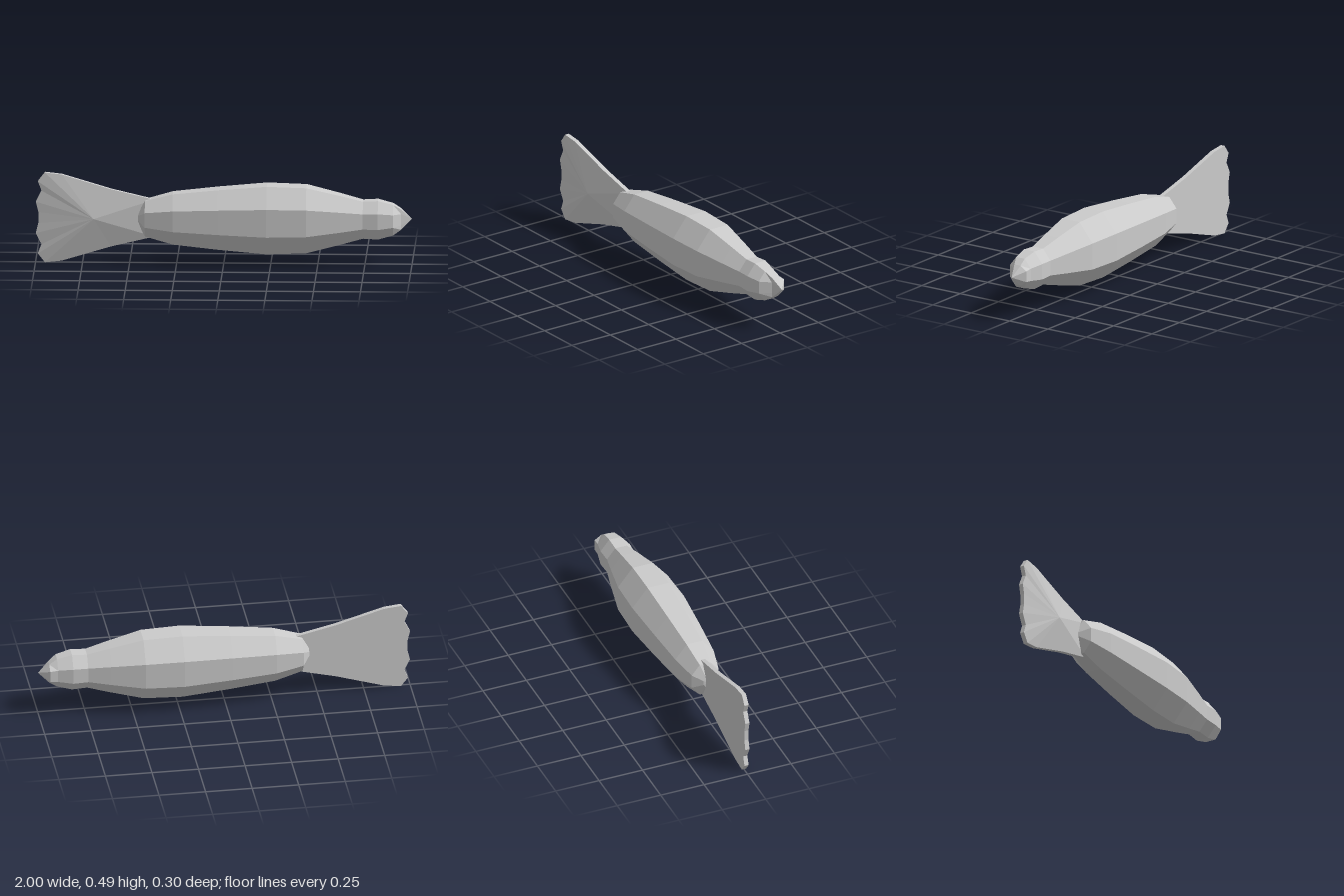
import * as THREE from 'three';

const CY = 0.246; // height of the long axis
const material = new THREE.MeshStandardMaterial({ color: 0xcccccc, flatShading: true });

// Skin a list of rings (arrays of [x, y, z], wound from +y towards +z) and close both ends
function loft(name, rings, startTip, endTip) {
  const pos = [];
  const tri = (a, b, c) => pos.push(...a, ...b, ...c);
  const n = rings[0].length;
  const first = rings[0], last = rings[rings.length - 1];
  for (let j = 0; j < n; j++) {
    const k = (j + 1) % n;
    for (let i = 0; i < rings.length - 1; i++) {
      const a = rings[i], b = rings[i + 1];
      tri(a[j], a[k], b[k]);
      tri(a[j], b[k], b[j]);
    }
    tri(startTip, first[k], first[j]);
    tri(last[j], last[k], endTip);
  }
  const geometry = new THREE.BufferGeometry();
  geometry.setAttribute('position', new THREE.Float32BufferAttribute(pos, 3));
  geometry.computeVertexNormals();
  const mesh = new THREE.Mesh(geometry, material);
  mesh.name = name;
  return mesh;
}

function createBody() {
  // Tall octagon, [y, z] at full size (half height 1)
  const octagon = [[1, -0.33], [1, 0.33], [0.41, 0.81], [-0.41, 0.81],
    [-1, 0.33], [-1, -0.33], [-0.41, -0.81], [0.41, -0.81]];
  // [x, half height] along the body
  const stations = [[-0.455, 0.03], [-0.418, 0.096], [-0.27, 0.136], [-0.03, 0.161],
    [0.23, 0.183], [0.44, 0.176], [0.62, 0.132], [0.74, 0.1], [0.82, 0.104], [0.9, 0.083]];
  const rings = stations.map(([x, h]) => octagon.map(([y, z]) => [x, CY + y * h, z * h]));
  // Lopsided snout: the -z side bulges forward, the +z side tapers in
  const snout = [[0.055, -0.03], [0.055, 0.01], [0.03, 0.012], [-0.03, 0.012],
    [-0.055, 0.01], [-0.055, -0.03], [-0.03, -0.068], [0.03, -0.068]];
  rings.push(snout.map(([y, z]) => [0.942, CY + y, z]));
  return loft('body', rings, [-0.46, CY, 0], [1, CY, -0.013]);
}

function createTail() {
  // Upper half of the fan outline, mirrored below; flat back, ridged front
  const half = [[-0.37, 0.1], [-0.6, 0.155], [-0.86, 0.233], [-0.95, 0.243],
    [-0.987, 0.195], [-0.968, 0.145], [-0.998, 0.085], [-0.985, 0.03]];
  const outline = [...half, ...half.slice().reverse().map(([x, y]) => [x, -y])];
  const rim = (z) => outline.map(([x, y]) => [x, CY + y, z]);
  return loft('tailFin', [rim(-0.012), rim(0.012)], [-0.69, CY, -0.012], [-0.69, CY, 0.05]);
}

export function createModel() {
  const group = new THREE.Group();
  group.name = 'fish';
  group.add(createBody(), createTail());
  return group;
}
